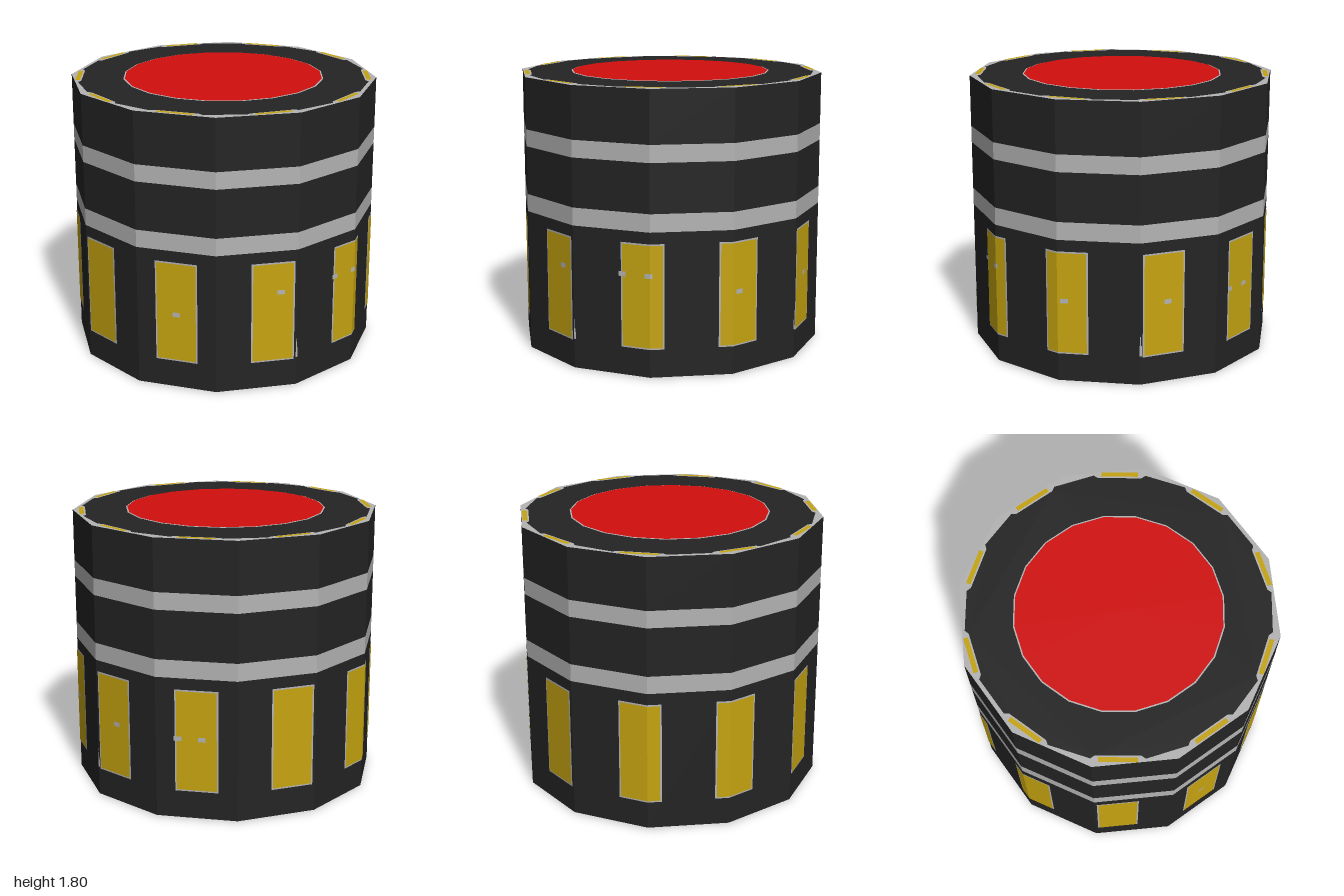
import * as THREE from 'three';

const SIDES = 12, STEP = (Math.PI * 2) / SIDES, TOP = 1.795;
const rad = THREE.MathUtils.degToRad;

function mat(name, color) {
  const m = new THREE.MeshStandardMaterial({ color });
  m.name = name;
  return m;
}

// distance from the axis to the twelve-sided wall at an angle (0 = front, 90 = left)
function wallRadius(a) {
  const t = ((a % STEP) + STEP) % STEP - STEP / 2;
  return Math.cos(STEP / 2) / Math.cos(t);
}
const polar = (a, r, y) => new THREE.Vector3(Math.sin(a) * r, y, Math.cos(a) * r);

// angles from a0 to a1 in degrees, including each wall corner between them
function span(a0, a1) {
  const list = [a0];
  for (let c = Math.ceil(a0 / 30) * 30; c < a1; c += 30) if (c > a0) list.push(c);
  return [...list, a1].map(rad);
}

// faceted strip between a lower and an upper row of points
function strip(lower, upper) {
  const pts = [];
  for (let i = 0; i < lower.length - 1; i++) {
    pts.push(lower[i], lower[i + 1], upper[i + 1], lower[i], upper[i + 1], upper[i]);
  }
  const g = new THREE.BufferGeometry().setFromPoints(pts);
  g.computeVertexNormals();
  return g;
}

function wallPatch(a0, a1, y0, y1, lift) {
  const as = span(a0, a1);
  const row = y => as.map(a => polar(a, wallRadius(a) + lift, y));
  return strip(row(y0), row(y1));
}

// patch on the underside reaching from the rim inwards, tapering by k
function basePatch(c, half, inner, k, y) {
  const as = span(c - half, c + half), mid = rad(c);
  return strip(
    as.map(a => polar(mid + (a - mid) * k, inner, y)),
    as.map(a => polar(a, wallRadius(a), y)));
}

export function createModel() {
  const root = new THREE.Group();
  const black = mat('black', 0x242424);
  const grey = mat('grey', 0xb4b4b4);
  const yellow = mat('yellow', 0xc6a410);
  const red = mat('red', 0xd20e0e);

  const add = (name, geo, material, parent = root) => {
    const m = new THREE.Mesh(geo, material);
    m.name = name;
    parent.add(m);
    return m;
  };

  // stacked wall sections: black body with two grey bands
  [
    ['lowerWall', 0, 0.923, black],
    ['lowerBand', 0.923, 1.037, grey],
    ['middleWall', 1.037, 1.35, black],
    ['upperBand', 1.35, 1.46, grey],
    ['upperWall', 1.46, TOP, black],
  ].forEach(([name, y0, y1, m]) => {
    const g = new THREE.CylinderGeometry(1, 1, y1 - y0, SIDES, 1, true).toNonIndexed();
    g.computeVertexNormals();
    g.translate(0, (y0 + y1) / 2, 0);
    add(name, g, m);
  });

  // caps, turned so their corners meet the wall corners
  const disc = (r, n, y, up) => new THREE.CircleGeometry(r, n)
    .rotateX(up ? -Math.PI / 2 : Math.PI / 2).translate(0, y, 0);
  add('base', disc(1, SIDES, 0, false), black);
  add('topRim', disc(1, SIDES, TOP, true), grey);
  add('topDiscBorder', disc(0.656, 20, TOP + 0.004, true), grey);
  add('topDisc', disc(0.647, 20, TOP + 0.006, true), red);

  // black top plate, cut back beside each yellow bar
  const outline = [];
  for (let i = 0; i < 10; i++) {
    const c = 27 + 36 * i;
    [[-10, 0.95], [-8.6, 0.928], [8.6, 0.928], [10, 0.95]].forEach(([d, r]) => {
      const a = rad(c + d);
      outline.push(new THREE.Vector2(Math.sin(a) * r, -Math.cos(a) * r));
    });
  }
  add('topPlate', new THREE.ShapeGeometry(new THREE.Shape(outline))
    .rotateX(-Math.PI / 2).translate(0, TOP + 0.002, 0), black);

  // ten yellow windows with grey frames, and their bars on both caps
  for (let i = 0; i < 10; i++) {
    const c = 27 + 36 * i;
    const panel = new THREE.Group();
    panel.name = 'panel' + (i + 1);
    root.add(panel);
    add('windowFrame', wallPatch(c - 8.1, c + 8.1, 0.18, 0.85, 0.002), grey, panel);
    add('window', wallPatch(c - 7.5, c + 7.5, 0.19, 0.84, 0.004), yellow, panel);
    add('baseSurround', basePatch(c, 12, 0.88, 0.65, -0.002), grey, panel);
    add('baseBar', basePatch(c, 8, 0.935, 1, -0.004), yellow, panel);
    add('topBar', new THREE.PlaneGeometry(0.235, 0.03).rotateX(-Math.PI / 2)
      .translate(0, TOP + 0.003, 0.943).rotateY(rad(c)), yellow, panel);
  }

  // small worn specks on the windows: angle, height
  [[-6, 0.65], [-45, 0.5], [19.5, 0.65], [29.5, 0.65], [62.5, 0.53], [100.5, 0.53],
    [128, 0.53], [137, 0.53]].forEach(([a, y]) =>
    add('speck', wallPatch(a - 1.4, a + 1.4, y - 0.015, y + 0.015, 0.006), grey));

  // narrow scratches low on the wall
  [0, 90].forEach(c => {
    add('scratch', wallPatch(c - 0.2, c + 0.6, 0.19, 0.26, 0.002), grey);
    add('scratchTip', wallPatch(c - 0.1, c + 0.2, 0.26, 0.32, 0.002), grey);
  });

  return root;
}
